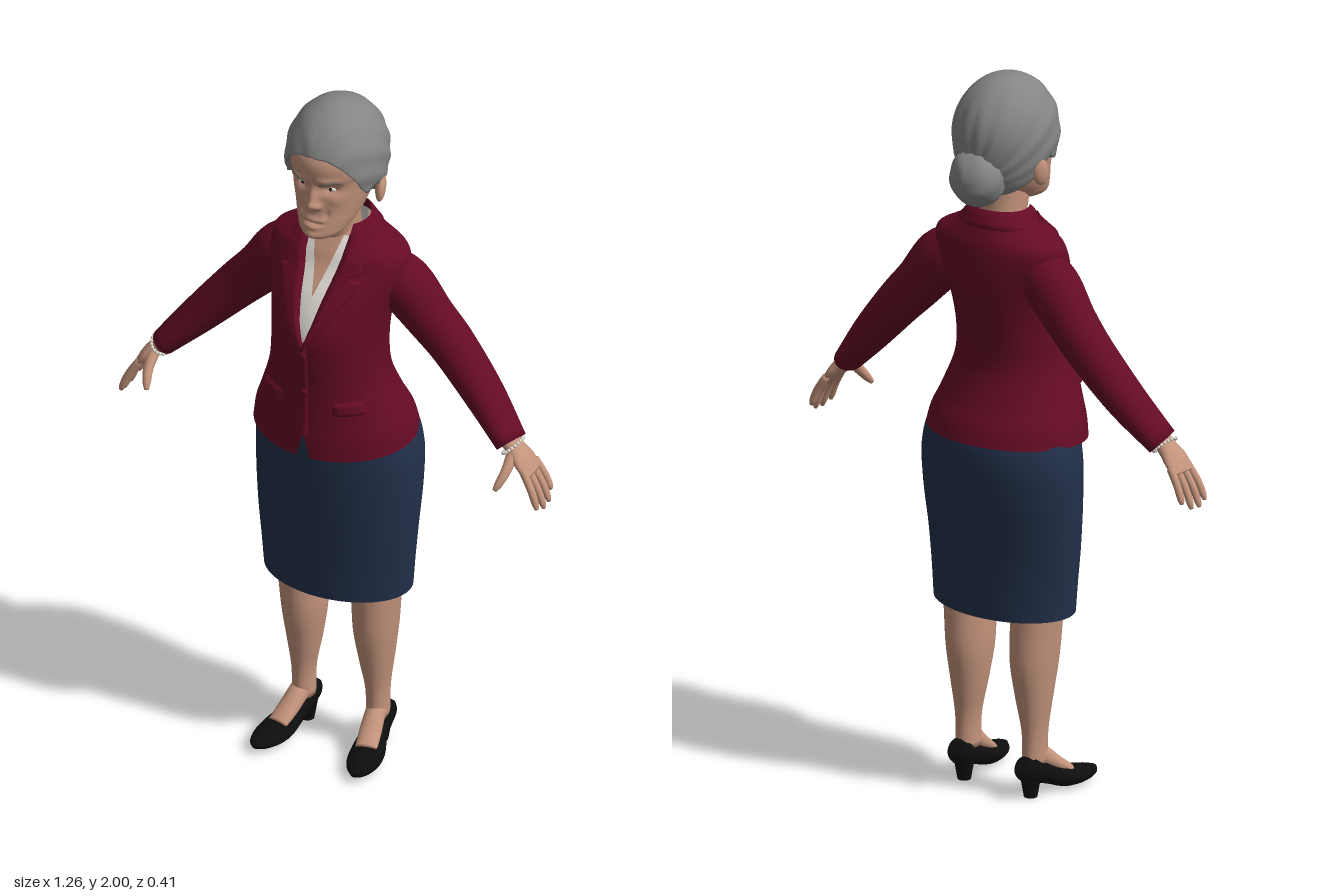
import * as THREE from 'three';
import { mergeVertices } from 'three/addons/utils/BufferGeometryUtils.js';

const paint = (name, color, side = THREE.FrontSide) => {
  const m = new THREE.MeshStandardMaterial({ color, side });
  m.name = name;
  return m;
};
const { sin, cos, asin, PI, max, min, exp } = Math;

// Smooth lookup through rows keyed by their first number
const track = (rows) => {
  const n = rows[0].length - 1;
  const it = new THREE.CubicInterpolant(rows.map((r) => r[0]), new Float32Array(rows.flatMap((r) => r.slice(1))), n);
  return (t) => Array.from(it.evaluate(t));
};

// Surface from a rule point(u, v), smooth and welded at seams
function grid(nu, nv, point) {
  const pos = [], idx = [];
  for (let j = 0; j <= nv; j++) for (let i = 0; i <= nu; i++) pos.push(...point(i / nu, j / nv));
  for (let j = 0; j < nv; j++) for (let i = 0; i < nu; i++) {
    const a = j * (nu + 1) + i, b = a + nu + 1;
    idx.push(a, a + 1, b + 1, a, b + 1, b);
  }
  let g = new THREE.BufferGeometry();
  g.setAttribute('position', new THREE.Float32BufferAttribute(pos, 3));
  g.setIndex(idx);
  g = mergeVertices(g, 1e-5);
  g.computeVertexNormals();
  return g;
}

// Closed tube through rows [x, y, z, ra, rb] with an oval section
function limb(rows, ref = [0, 0, 1], nu = 24, nv = 30) {
  const at = track(rows.map((r, i) => [i, ...r])), last = rows.length - 1;
  const up = new THREE.Vector3(...ref);
  return grid(nu, nv + 2, (u, v) => {
    const j = v * (nv + 2), t = min(max((j - 1) / nv, 0), 1) * last;
    const k = j < 0.5 || j > nv + 1.5 ? 0 : 1;
    const [x, y, z, ra, rb] = at(t);
    const p = new THREE.Vector3(...at(max(t - 0.05, 0))), q = new THREE.Vector3(...at(min(t + 0.05, last)));
    const dir = q.sub(p).normalize();
    const e1 = up.clone().cross(dir).normalize(), e2 = dir.clone().cross(e1);
    const a = u >= 1 ? 0 : u * 2 * PI;
    return new THREE.Vector3(x, y, z).addScaledVector(e1, k * ra * cos(a)).addScaledVector(e2, k * rb * sin(a)).toArray();
  });
}

// Oval body surface from rows [y, halfWidth, front, back]; angle 0 faces front
const body = (rows) => {
  const at = track(rows);
  const f = (y, a, off = 0) => {
    const [rx, zf, zb] = at(y);
    return [(rx + off) * sin(a), y, (zf + zb) / 2 + ((zf - zb) / 2 + off) * cos(a)];
  };
  f.rx = (y) => at(y)[0];
  return f;
};

export function createModel() {
  const root = new THREE.Group();
  const D = THREE.DoubleSide;
  const skin = paint('skin', 0xc4947c), hairGrey = paint('hair grey', 0x848684, D), wine = paint('jacket wine', 0x650b25, D);
  const navy = paint('skirt navy', 0x22304a, D), black = paint('shoe black', 0x0d0d0d), white = paint('blouse white', 0xe2ded6, D);
  const dark = paint('iris brown', 0x2a1c16), browGrey = paint('brow grey', 0x75675f);
  const add = (name, geo, mat, parent = root) => {
    const m = new THREE.Mesh(geo, mat);
    m.name = name;
    parent.add(m);
    return m;
  };
  const ball = (name, mat, p, s, n = 20) => {
    const m = add(name, new THREE.SphereGeometry(1, n, n * 0.7 | 0), mat);
    m.position.set(...p);
    m.scale.set(...s);
    return m;
  };

  // Torso
  const torso = body([[0.99, 0.228, 0.197, -0.19], [1.05, 0.217, 0.195, -0.172], [1.1, 0.198, 0.191, -0.147], [1.2, 0.165, 0.189, -0.11],
    [1.28, 0.156, 0.196, -0.115], [1.36, 0.158, 0.196, -0.132], [1.45, 0.176, 0.158, -0.145], [1.53, 0.198, 0.1, -0.141],
    [1.56, 0.186, 0.085, -0.135], [1.58, 0.15, 0.073, -0.127], [1.605, 0.107, 0.06, -0.117], [1.64, 0.078, 0.052, -0.1]]);
  const neckHalf = (y) => {
    const pts = [[1.335, 0], [1.4, 0.02], [1.5, 0.042], [1.56, 0.055], [1.64, 0.06]];
    const i = pts.findIndex((p) => p[0] > y), n = i < 0 ? 4 : i;
    if (n === 0) return y < 1.06 ? (1.06 - y) * 0.35 : 0;
    const [a, b] = [pts[n - 1], pts[n]];
    return a[1] + (b[1] - a[1]) * min((y - a[0]) / (b[0] - a[0]), 1);
  };
  const opening = (y, w) => asin(min(w / torso.rx(y), 0.95));
  // Shell round the torso, split at the front by the half-width rule
  const shell = (y0, y1, off, half, nv) => grid(72, nv, (u, v) => {
    const y = y0 + (y1 - y0) * v, a0 = opening(y, half(y));
    const a = a0 + (2 * PI - 2 * a0) * u;
    const p = torso(y, a, off);
    p[1] -= 0.012 * cos(a) * max(0, (1.1 - y) / 0.1);
    return p;
  });
  add('jacket', shell(1.0, 1.64, 0, neckHalf, 80), wine);
  add('blouse', shell(1.3, 1.61, -0.006, (y) => max(0, (y - 1.46) * 0.3), 40), white);
  add('chest', shell(1.4, 1.63, -0.014, () => 0, 30), skin);
  add('collar', grid(60, 6, (u, v) => {
    const y = 1.6 + 0.047 * v, a0 = opening(y, neckHalf(y)) + 0.1;
    const p = torso(min(y, 1.64), a0 + (2 * PI - 2 * a0) * u, v < 0.1 ? 0 : v > 0.9 ? 0.002 : 0.01);
    p[1] = y - 0.008 * (1 + cos(2 * PI * u)) / 2;
    return p;
  }), wine);
  add('placket', grid(4, 30, (u, v) => {
    const y = 1.06 + 0.28 * v;
    return torso(y, (-0.012 + 0.026 * u) / torso.rx(y), u === 0 || u === 1 ? -0.001 : 0.005);
  }), wine);
  for (const y of [1.31, 1.19]) {
    const p = torso(y, 0.01, 0.006);
    ball('button', wine, p, [0.011, 0.011, 0.006], 14);
  }

  // Skirt
  const skirt = body([[0.515, 0.21, 0.135, -0.147], [0.6, 0.217, 0.137, -0.147], [0.7, 0.226, 0.142, -0.152],
    [0.85, 0.235, 0.15, -0.177], [0.95, 0.234, 0.152, -0.184], [1.02, 0.218, 0.15, -0.172], [1.1, 0.17, 0.14, -0.12]]);
  add('skirt', grid(64, 40, (u, v) => skirt(0.515 + 0.585 * v, u * 2 * PI)), navy);

  // Neck and head
  add('neck', limb([[0, 1.5, -0.035, 0.06, 0.062], [0, 1.6, -0.012, 0.058, 0.062], [0, 1.67, 0, 0.06, 0.066], [0, 1.76, 0, 0.06, 0.07]]), skin);
  const headBase = body([[1.637, 0.03, 0.13, 0.05], [1.65, 0.055, 0.146, 0.01], [1.68, 0.076, 0.146, -0.04], [1.72, 0.092, 0.139, -0.08],
    [1.77, 0.104, 0.137, -0.1], [1.81, 0.11, 0.138, -0.11], [1.84, 0.115, 0.146, -0.115], [1.88, 0.117, 0.143, -0.115],
    [1.92, 0.1, 0.115, -0.1], [1.96, 0.05, 0.06, -0.05]]);
  // Facial relief: x, y, spread x, spread y, height (mirrored)
  const relief = [[0, 1.772, 0.012, 0.03, 0.016], [0, 1.75, 0.014, 0.013, 0.015], [0.016, 1.745, 0.008, 0.009, 0.009],
    [0.042, 1.797, 0.022, 0.013, -0.014], [0.042, 1.825, 0.034, 0.01, 0.007], [0.062, 1.765, 0.018, 0.018, 0.006],
    [0, 1.703, 0.026, 0.008, 0.005], [0, 1.692, 0.03, 0.004, -0.009], [0, 1.681, 0.022, 0.006, 0.005],
    [0.036, 1.718, 0.007, 0.016, -0.006], [0, 1.655, 0.022, 0.013, 0.006], [0, 1.822, 0.004, 0.014, -0.004]];
  const face = (y, a) => {
    const p = headBase(y, a);
    for (const [cx, cy, sx, sy, h] of relief)
      p[2] += max(0, cos(a)) * h * exp(-(((Math.abs(p[0]) - cx) / sx) ** 2) - ((y - cy) / sy) ** 2);
    return p;
  };
  add('head', grid(120, 82, (u, v) => {
    const j = Math.round(v * 82), y = 1.637 + 0.323 * min(max((j - 1) / 80, 0), 1);
    if (j === 0) return [0, 1.637, 0.09];
    if (j === 82) return [0, 1.965, 0];
    return face(y, u * 2 * PI);
  }), skin);
  for (const s of [1, -1]) {
    const [x, y, z] = face(1.796, s * 0.39);
    ball('eye', white, [x, y, z - 0.001], [0.014, 0.006, 0.006]);
    ball('iris', dark, [x, y, z + 0.003], [0.0055, 0.0055, 0.003], 12);
    const arch = [[1.813, 0.16], [1.824, 0.36], [1.828, 0.56], [1.818, 0.72]].map(([h, a]) => new THREE.Vector3(...face(h, s * a)));
    add('eyebrow', new THREE.TubeGeometry(new THREE.CatmullRomCurve3(arch), 16, 0.0045, 8), browGrey);
    ball('ear', skin, [s * 0.122, 1.755, -0.012], [0.014, 0.042, 0.024]).rotation.set(-0.2, s * 0.3, 0);
  }

  // Swept-back hair with combed grooves, and bun
  const hairline = track([[0, 1.898], [0.5, 1.882], [0.85, 1.835], [1.15, 1.775], [1.45, 1.785], [1.75, 1.74], [2.3, 1.7], [PI, 1.69]]);
  add('hair', grid(128, 44, (u, v) => {
    const th = u >= 1 ? 0 : u * 2 * PI, low = hairline(min(th, 2 * PI - th))[0];
    const ry = (d) => (d < 0 ? 0.2 : 0.16);
    const from = asin((low - 1.84) / ry(low - 1.84)), f = from + (PI / 2 - from) * max(0, (v * 44 - 1) / 43);
    const k = v === 0 ? 0.82 : 1, c = v >= 1 ? 0 : cos(f);
    const x = 0.135 * c * sin(th), y = 1.84 + ry(f) * sin(f);
    const comb = 1 + 0.014 * sin(20 * Math.atan2(Math.abs(x), y - 1.72) + 8 * c * cos(th)) * c;
    return [x * k * comb, y, 0.154 * c * cos(th) * k * comb];
  }), hairGrey);
  add('bun', grid(48, 30, (u, v) => {
    const a = u >= 1 ? 0 : u * 2 * PI, f = (v - 0.5) * PI, c = v === 0 || v === 1 ? 0 : cos(f);
    const r = 0.076 * (1 + 0.022 * c * sin(5 * a + 5 * f));
    return [r * c * cos(a), 1.745 + r * c * sin(a) * 1.06, -0.122 + r * sin(f)];
  }), hairGrey);

  for (const s of [1, -1]) {
    const flip = (rows) => rows.map(([x, ...r]) => [s * x, ...r]);
    const side = (u) => (s > 0 ? u : 1 - u);

    // Lapel with a notch, and pocket flap
    const wide = (y) => (y < 1.515 ? 0.088 * ((y - 1.335) / 0.18) ** 0.8 : y < 1.53 ? 0.05 : 0.074 - (y - 1.53) * 0.3);
    add('lapel', grid(8, 56, (u, v) => {
      const y = 1.335 + 0.28 * v, t = side(u);
      const a = opening(y, neckHalf(y)) - 0.01 + t * wide(y) / torso.rx(y);
      return torso(y, s * a, t < 0.01 || t > 0.99 ? -0.002 : 0.011);
    }), wine);
    add('pocketFlap', grid(10, 6, (u, v) => {
      const edge = u === 0 || u === 1 || v === 0 || v === 1;
      return torso(1.125 + 0.042 * v, s * (0.42 + 0.55 * side(u)), edge ? -0.001 : 0.008);
    }), wine);

    // Sleeve
    add('sleeve', limb(flip([[0.12, 1.5, -0.035, 0.06, 0.06], [0.18, 1.453, -0.038, 0.078, 0.072], [0.25, 1.37, -0.044, 0.069, 0.066],
      [0.32, 1.295, -0.046, 0.063, 0.062], [0.42, 1.185, -0.03, 0.052, 0.059], [0.517, 1.08, 0, 0.036, 0.052]]), [0, 0, 1], 32), wine);
    for (let i = 0; i < 20; i++) {
      const a = i / 20 * 2 * PI, r = 0.029 * cos(a);
      ball('cuffBead', white, [s * (0.524 + 0.74 * r), 1.073 + 0.67 * r, 0.002 + 0.04 * sin(a)], [0.005, 0.005, 0.005], 8);
    }

    // Hand
    add('palm', limb(flip([[0.5, 1.1, 0, 0.023, 0.032], [0.53, 1.068, 0.002, 0.022, 0.032], [0.557, 1.04, 0.004, 0.019, 0.043],
      [0.583, 1.005, 0.003, 0.012, 0.044]])), skin);
    [[0.036, 0.05, 0.93], [0.013, 0.02, 1.03], [-0.011, -0.012, 1], [-0.033, -0.041, 0.82]].forEach(([z0, z1, k]) => {
      const step = (f) => z0 + (z1 - z0) * f;
      add('finger', limb(flip([[0.57, 1.025, z0, 0.011, 0.011], [0.57 + 0.031 * k, 1.025 - 0.05 * k, step(0.6), 0.0105, 0.0105],
        [0.57 + 0.048 * k, 1.025 - 0.09 * k, step(0.9), 0.0095, 0.0095], [0.57 + 0.053 * k, 1.025 - 0.107 * k, z1, 0.005, 0.005]]), [0, 0, 1], 12, 12), skin);
    });
    add('thumb', limb(flip([[0.532, 1.062, 0.018, 0.016, 0.016], [0.533, 1.03, 0.056, 0.014, 0.014], [0.525, 1.0, 0.083, 0.0115, 0.0115],
      [0.518, 0.982, 0.097, 0.006, 0.006]]), [0, 0, 1], 12, 12), skin);

    // Leg and instep
    add('leg', limb(flip([[0.115, 0.72, -0.01, 0.08, 0.085], [0.11, 0.5, -0.012, 0.064, 0.081], [0.106, 0.38, -0.016, 0.058, 0.077],
      [0.107, 0.28, -0.018, 0.047, 0.058], [0.11, 0.18, -0.019, 0.032, 0.041], [0.11, 0.09, -0.02, 0.03, 0.04]])), skin);
    add('instep', limb(flip([[0.11, 0.115, -0.02, 0.028, 0.034], [0.115, 0.1, 0.01, 0.028, 0.028], [0.122, 0.076, 0.045, 0.03, 0.022],
      [0.132, 0.048, 0.09, 0.03, 0.015]]), [0, 1, 0]), skin);

    // Court shoe and heel
    add('shoe', limb(flip([[0.11, 0.103, -0.074, 0.02, 0.022], [0.111, 0.087, -0.058, 0.032, 0.038], [0.114, 0.07, -0.02, 0.035, 0.034],
      [0.12, 0.05, 0.025, 0.037, 0.029], [0.131, 0.032, 0.075, 0.046, 0.029], [0.14, 0.026, 0.125, 0.044, 0.023],
      [0.146, 0.025, 0.165, 0.029, 0.016], [0.147, 0.026, 0.188, 0.01, 0.007]]), [0, 1, 0]), black);
    const heel = add('heel', new THREE.CylinderGeometry(0.031, 0.018, 0.075, 20), black);
    heel.position.set(s * 0.11, 0.0375, -0.038);
  }
  return root;
}
